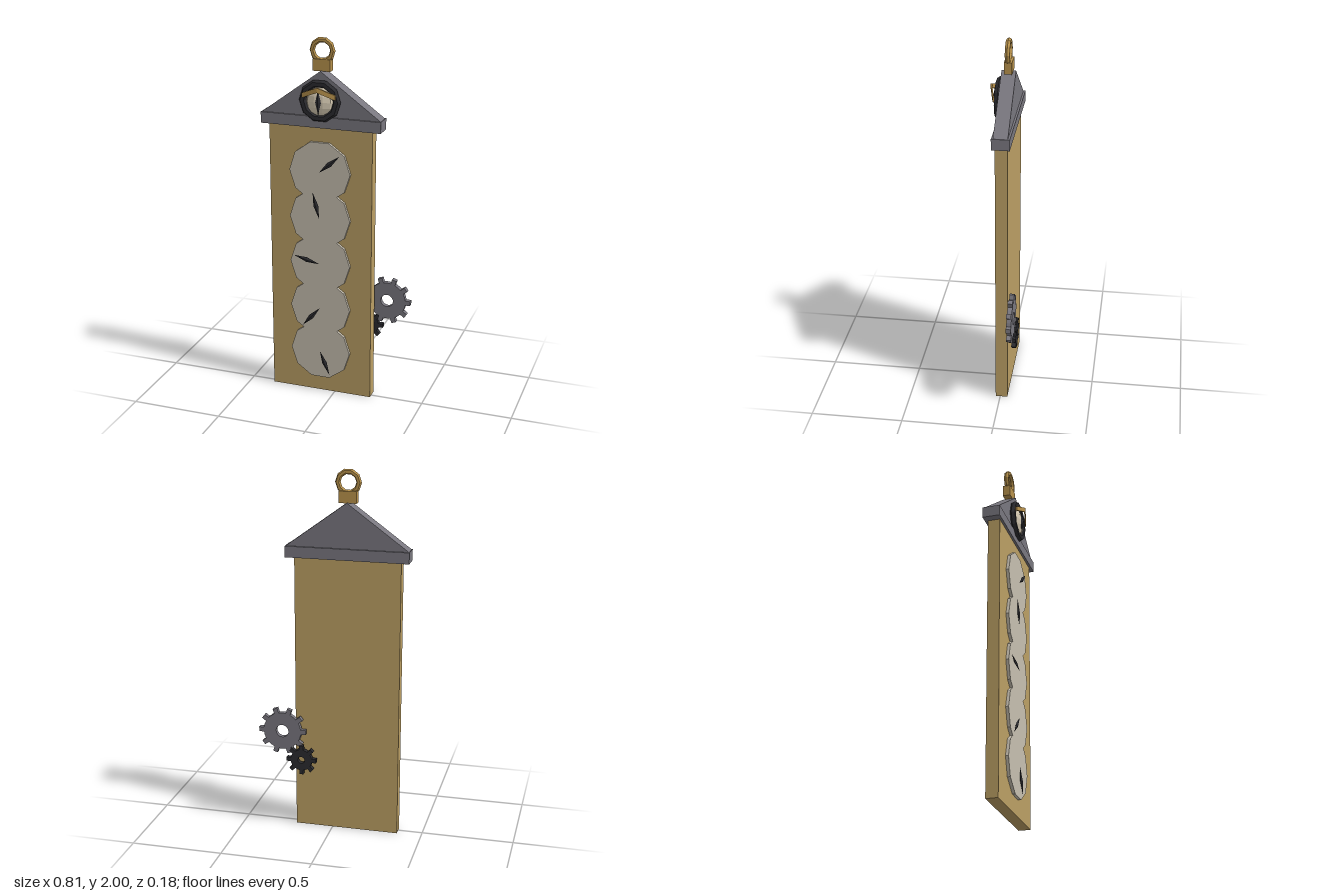
import * as THREE from 'three';

const mat = (name, color) => {
  const m = new THREE.MeshStandardMaterial({ color, flatShading: true });
  m.name = name;
  return m;
};

export function createModel() {
  const group = new THREE.Group();
  const wood = mat('tan board', 0xbb9f64);
  const brass = mat('brass', 0xb8924c);
  const slate = mat('slate grey', 0x79777f);
  const dark = mat('dark iron', 0x2b2b2f);
  const cream = mat('dial cream', 0xc6bfb0);
  const ivory = mat('eye ivory', 0xd8ccb4);
  const CX = -0.077;

  const add = (name, geo, material, x = 0, y = 0, z = 0) => {
    const mesh = new THREE.Mesh(geo, material);
    mesh.name = name;
    mesh.position.set(x, y, z);
    group.add(mesh);
    return mesh;
  };
  const extrude = (shape, depth) =>
    new THREE.ExtrudeGeometry(shape, { depth, bevelEnabled: false, curveSegments: 12 });

  // Board, eave and gable
  add('board', new THREE.BoxGeometry(0.572, 1.53, 0.065), wood, -0.079, 0.765, -0.0075);
  add('eave', new THREE.BoxGeometry(0.663, 0.06, 0.095), slate, CX, 1.56, -0.01);
  const gable = new THREE.Shape([[-0.328, 0], [0.328, 0], [0, 0.24]].map(p => new THREE.Vector2(...p)));
  add('gable', extrude(gable, 0.075), slate, CX, 1.59, -0.047);

  // Hanger
  add('hangerBlock', new THREE.BoxGeometry(0.096, 0.063, 0.042), brass, CX, 1.857, -0.011);
  add('hangerRing', new THREE.TorusGeometry(0.056, 0.0145, 6, 10), brass, CX, 1.932, -0.009);

  // Overlapping ten-sided dials, each with a spindle-shaped hand
  const dialGeo = new THREE.CylinderGeometry(0.17, 0.17, 0.018, 10, 1, false, Math.PI / 2);
  dialGeo.rotateX(Math.PI / 2);
  const handGeo = new THREE.OctahedronGeometry(1);
  handGeo.scale(0.075, 0.014, 0.007);
  handGeo.translate(0.075, 0, 0);
  [41, 104, 166, 229, 292].forEach((deg, i) => {
    const y = 1.29 - 0.26 * i;
    add('dial' + (i + 1), dialGeo, cream, -0.079, y, 0.032);
    add('hand' + (i + 1), handGeo, dark, -0.079, y, 0.05).rotation.z = THREE.MathUtils.degToRad(deg);
  });

  // Eye: socket ring, flattened eyeball, slit pupil and chevron lid
  add('eyeSocket', new THREE.TorusGeometry(0.094, 0.021, 6, 10), dark, CX, 1.675, 0.036);
  const ball = new THREE.SphereGeometry(0.08, 10, 8);
  ball.scale(1, 1, 0.42);
  add('eyeball', ball, ivory, CX, 1.672, 0.03);
  const pupil = new THREE.OctahedronGeometry(1);
  pupil.scale(0.016, 0.065, 0.01);
  add('pupil', pupil, dark, CX, 1.672, 0.063);
  const lid = new THREE.Shape([[-0.092, 0.055], [0, 0.077], [0.092, 0.055], [0.092, 0.062], [0, 0.085], [-0.092, 0.062]]
    .map(p => new THREE.Vector2(...p)));
  const lidGeo = extrude(lid, 0.026);
  lidGeo.rotateX(Math.PI / 2);
  const p = lidGeo.attributes.position;
  for (let i = 0; i < p.count; i++) p.setY(i, p.getY(i) - 0.42 * Math.abs(p.getX(i)));
  lidGeo.computeVertexNormals();
  add('eyelid', lidGeo, brass, CX, 1.755, 0);

  // Gears behind the board edge
  const gear = (name, teeth, root, tip, halfTooth, hole, depth, material, x, y, z) => {
    const shape = new THREE.Shape();
    const pts = [];
    for (let i = 0; i < teeth; i++) {
      const a = (i / teeth) * Math.PI * 2, step = Math.PI / teeth;
      const at = (r, t) => pts.push(new THREE.Vector2(Math.cos(a + t) * r, Math.sin(a + t) * r));
      const w = halfTooth / root, wt = halfTooth / tip;
      at(root, -w); at(tip, -wt); at(tip, wt); at(root, w); at(root, step);
    }
    shape.setFromPoints(pts);
    const bore = new THREE.Path();
    bore.absarc(0, 0, hole, 0, Math.PI * 2, true);
    shape.holes.push(bore);
    add(name, extrude(shape, depth), material, x, y, z);
  };
  gear('largeGear', 10, 0.105, 0.132, 0.013, 0.035, 0.026, slate, 0.273, 0.562, -0.082);
  gear('smallGear', 8, 0.06, 0.084, 0.011, 0.019, 0.026, dark, 0.165, 0.403, -0.09);

  return group;
}
